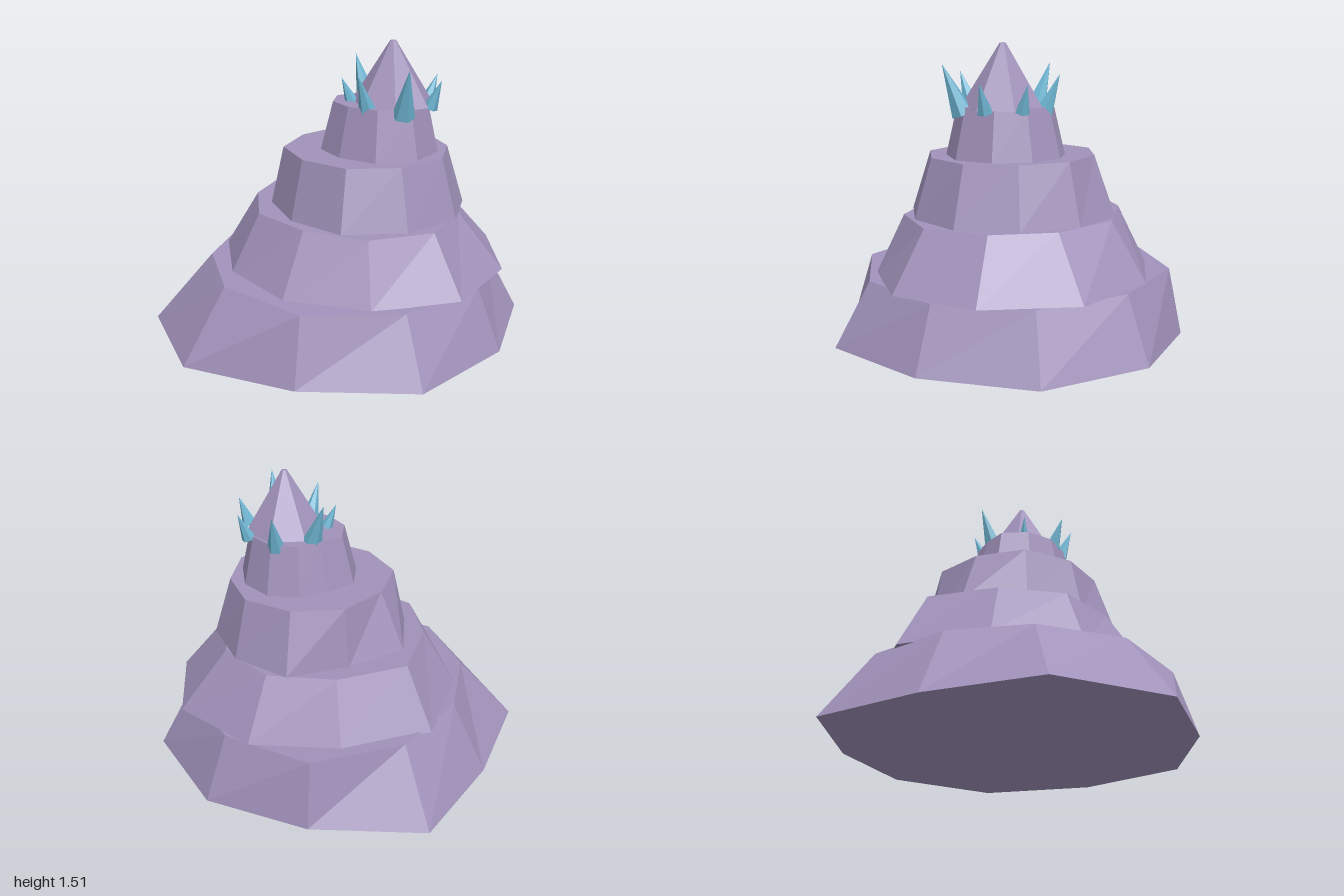
import * as THREE from 'three';

const rock = new THREE.MeshStandardMaterial({ color: 0xa192ba });
rock.name = 'mauve rock';
const crystal = new THREE.MeshStandardMaterial({ color: 0x6eb5d2 });
crystal.name = 'blue crystal';

// Horizontal direction for a bearing in degrees: 0 is the back, 90 is +x
function bearing(degrees) {
  const a = THREE.MathUtils.degToRad(degrees);
  return new THREE.Vector3(Math.sin(a), 0, -Math.cos(a));
}

// One irregular ten-sided ring around [x, z]; y slopes by [dx, dz]
function makeRing(start, [cx, cz], y, [dx, dz], radii) {
  return radii.map((radius, i) => {
    const p = bearing(start + i * 36).multiplyScalar(radius);
    p.x += cx;
    p.z += cz;
    p.y = y + dx * p.x + dz * p.z;
    return p;
  });
}

function average(points) {
  const sum = new THREE.Vector3();
  points.forEach((p) => sum.add(p));
  return sum.divideScalar(points.length);
}

// Closed faceted loft between two rings
function makeTier(name, low, high) {
  const lowMid = average(low);
  const highMid = average(high);
  const corners = [];
  low.forEach((a, i) => {
    const j = (i + 1) % low.length;
    const b = low[j], c = high[j], d = high[i];
    corners.push(a, d, b, b, d, c, highMid, c, d, lowMid, a, b);
  });
  const geometry = new THREE.BufferGeometry().setFromPoints(corners);
  geometry.computeVertexNormals();
  const mesh = new THREE.Mesh(geometry, rock);
  mesh.name = name;
  return mesh;
}

// Flat-faced copy of a built-in geometry
function facet(geometry) {
  const flat = geometry.toNonIndexed();
  flat.computeVertexNormals();
  return flat;
}

// Six-sided crystal leaning outwards from the summit
function makeSpike(length, degrees) {
  const outward = bearing(degrees);
  const geometry = new THREE.ConeGeometry(0.012 + 0.175 * length, length, 6);
  geometry.translate(0, length / 2, 0);
  const mesh = new THREE.Mesh(facet(geometry), crystal);
  mesh.name = 'crystalSpike';
  mesh.position.set(0.228, 1.21 - 0.17 * length, 0.168).addScaledVector(outward, 0.205);
  const axis = new THREE.Vector3(0, 1, 0).addScaledVector(outward, 0.41).normalize();
  mesh.quaternion.setFromUnitVectors(new THREE.Vector3(0, 1, 0), axis);
  return mesh;
}

export function createModel() {
  const model = new THREE.Group();
  model.name = 'steppedRock';

  // Four stacked tiers
  const baseCentre = [0.01, 0];
  model.add(makeTier('baseTier',
    makeRing(0, baseCentre, 0, [0, 0], [1, 0.88, 0.93, 0.98, 0.94, 0.995, 0.92, 1.01, 1, 0.87]),
    makeRing(0, baseCentre, 0.342, [-0.021, -0.021],
      [0.74, 0.81, 0.79, 0.81, 0.81, 0.81, 0.815, 0.755, 0.69, 0.68])));

  const secondCentre = [0.08, 0.06];
  model.add(makeTier('secondTier',
    makeRing(-18, secondCentre, 0.338, [0.006, -0.016],
      [0.797, 0.715, 0.76, 0.805, 0.778, 0.765, 0.702, 0.713, 0.705, 0.74]),
    makeRing(-18, secondCentre, 0.643, [-0.015, -0.024],
      [0.62, 0.566, 0.57, 0.545, 0.54, 0.57, 0.557, 0.517, 0.545, 0.55])));

  const thirdCentre = [0.132, 0.08];
  model.add(makeTier('thirdTier',
    makeRing(-34, thirdCentre, 0.643, [0, 0],
      [0.553, 0.48, 0.534, 0.506, 0.508, 0.523, 0.52, 0.537, 0.497, 0.508]),
    makeRing(-34, thirdCentre, 0.95, [0, -0.008],
      [0.417, 0.435, 0.425, 0.427, 0.416, 0.437, 0.43, 0.438, 0.426, 0.44])));

  const fourthRadii = [0.288, 0.235, 0.254, 0.281, 0.301, 0.33, 0.352, 0.35, 0.315, 0.305];
  model.add(makeTier('fourthTier',
    makeRing(-46, [0.182, 0.085], 0.94, [0, 0], fourthRadii),
    makeRing(-46, [0.184, 0.097], 1.2, [0, 0], fourthRadii.map((r) => r * 0.8))));

  // Pointed seven-sided summit
  const peak = new THREE.Mesh(facet(new THREE.CylinderGeometry(0.015, 0.215, 0.32, 7)), rock);
  peak.name = 'peak';
  peak.position.set(0.225, 1.35, 0.17);
  peak.rotation.y = 0.53;
  model.add(peak);

  // Ring of crystals around the summit
  const ring = new THREE.Group();
  ring.name = 'crystalRing';
  const lengths = [0.26, 0.2, 0.145, 0.155, 0.265, 0.205, 0.145];
  lengths.forEach((length, i) => ring.add(makeSpike(length, -15 + (i * 360) / lengths.length)));
  model.add(ring);
  return model;
}
